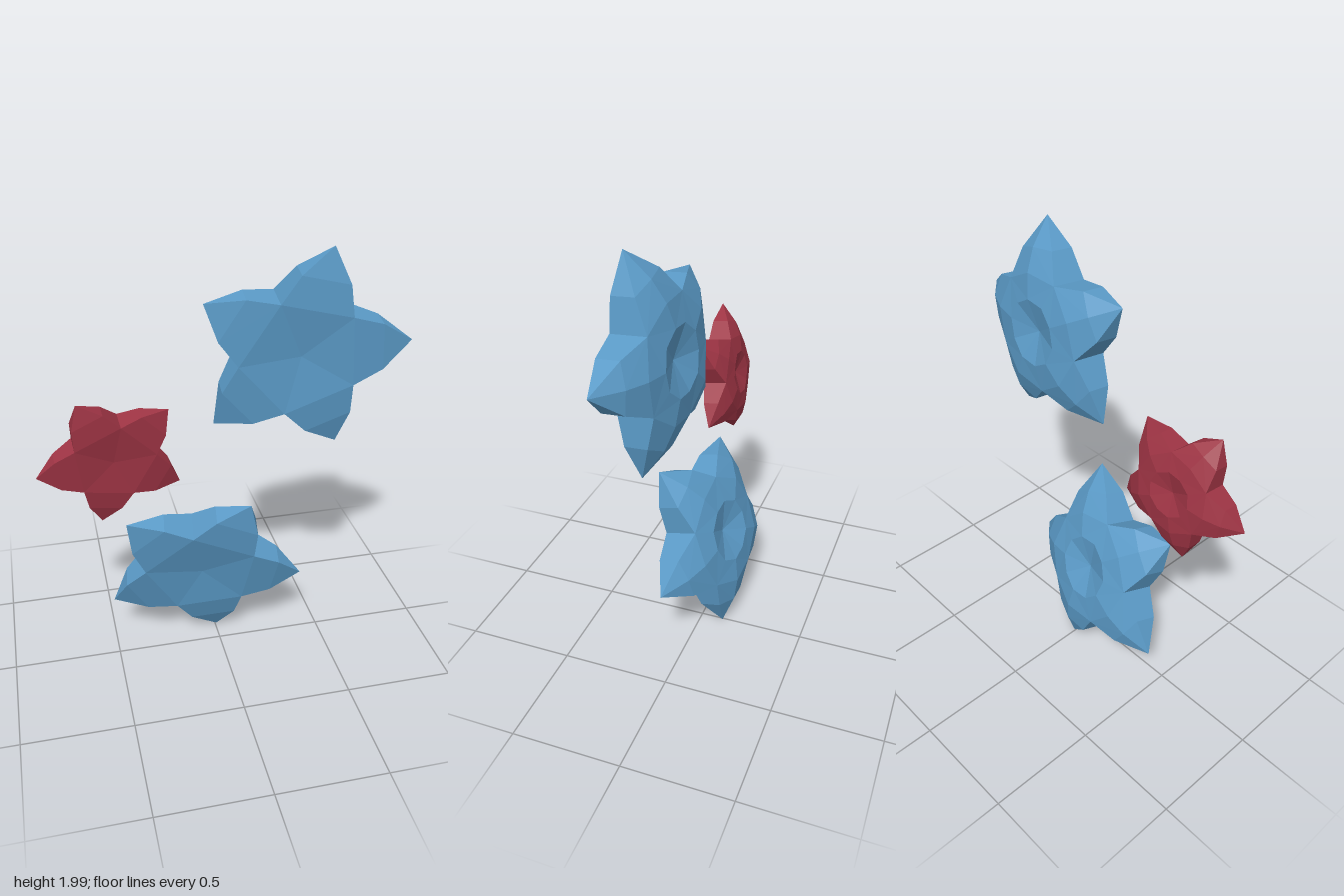
import * as THREE from 'three';

// Builds one five-armed starfish, local +z is the flat underside, -z the domed back (radius 1 at the tips).
function starGeometry() {
  const at = (along, side, z) => new THREE.Vector3(along, side, z);
  const polar = (r, z) => at(r * Math.cos(Math.PI / 5), r * Math.sin(Math.PI / 5), z);
  const tip = at(1, 0, 0);
  const underCentre = at(0, 0, 0.045), backCentre = at(0, 0, -0.2);
  const underMid = at(0.725, 0.22, 0.07), backMid = at(0.725, 0.22, -0.145);
  const underValley = polar(0.56, 0.095), backValley = polar(0.56, -0.235);
  const ridgeMid = at(0.75, 0, -0.185), ridge = at(0.54, 0, -0.268);
  const rimArm = at(0.31, 0, -0.295), rimValley = polar(0.31, -0.285);

  // Half an arm; the other half is mirrored across y = 0
  const half = [
    [tip, backMid, underMid],
    [underMid, backMid, backValley], [underMid, backValley, underValley],
    [tip, ridgeMid, backMid],
    [ridgeMid, ridge, backValley], [ridgeMid, backValley, backMid],
    [ridge, rimArm, backValley], [rimArm, rimValley, backValley],
    [rimArm, backCentre, rimValley],
  ];
  const flip = (p) => at(p.x, -p.y, p.z);
  const arm = [
    ...half,
    ...half.map(([a, b, c]) => [flip(a), flip(c), flip(b)]),
    // Underside of the arm and its wedge of the shallow central hollow
    [underCentre, flip(underValley), underValley],
    [flip(underValley), flip(underMid), underMid],
    [flip(underValley), underMid, underValley],
    [flip(underMid), tip, underMid],
  ];

  const axis = new THREE.Vector3(0, 0, 1);
  const points = [];
  for (let i = 0; i < 5; i++) {
    for (const face of arm) {
      for (const p of face) points.push(p.clone().applyAxisAngle(axis, (i * Math.PI * 2) / 5));
    }
  }
  const geometry = new THREE.BufferGeometry().setFromPoints(points);
  geometry.computeVertexNormals();
  return geometry;
}

export function createModel() {
  const group = new THREE.Group();
  const blue = new THREE.MeshStandardMaterial({ name: 'seaBlue', color: 0x5b9bc8 });
  const red = new THREE.MeshStandardMaterial({ name: 'coralRed', color: 0x9e3444 });
  blue.flatShading = red.flatShading = true;
  const geometry = starGeometry();

  // Centre, radius, angle of the first arm in degrees, and slope of the star's plane along x and y
  const stars = [
    { name: 'upperBlueStarfish', material: blue, centre: [0.32, 1.537, 0.097], radius: 0.478, angle: 4.8, slope: [0.079, 0.096] },
    { name: 'lowerBlueStarfish', material: blue, centre: [-0.09, 0.458, 0.017], radius: 0.478, angle: -8.2, slope: [0.14, 0.307] },
    { name: 'smallRedStarfish', material: red, centre: [-0.48, 1.118, 0.073], radius: 0.33, angle: 43.4, slope: [-0.039, 0.144] },
  ];
  for (const { name, material, centre, radius, angle, slope } of stars) {
    const a = THREE.MathUtils.degToRad(angle);
    const c = Math.cos(a), s = Math.sin(a);
    const normal = new THREE.Vector3(-slope[0], -slope[1], 1).normalize();
    const first = new THREE.Vector3(c, s, slope[0] * c + slope[1] * s).normalize();
    const second = normal.clone().cross(first);
    const mesh = new THREE.Mesh(geometry, material);
    mesh.name = name;
    mesh.quaternion.setFromRotationMatrix(new THREE.Matrix4().makeBasis(first, second, normal));
    mesh.scale.setScalar(radius);
    mesh.position.set(...centre);
    group.add(mesh);
  }
  return group;
}
